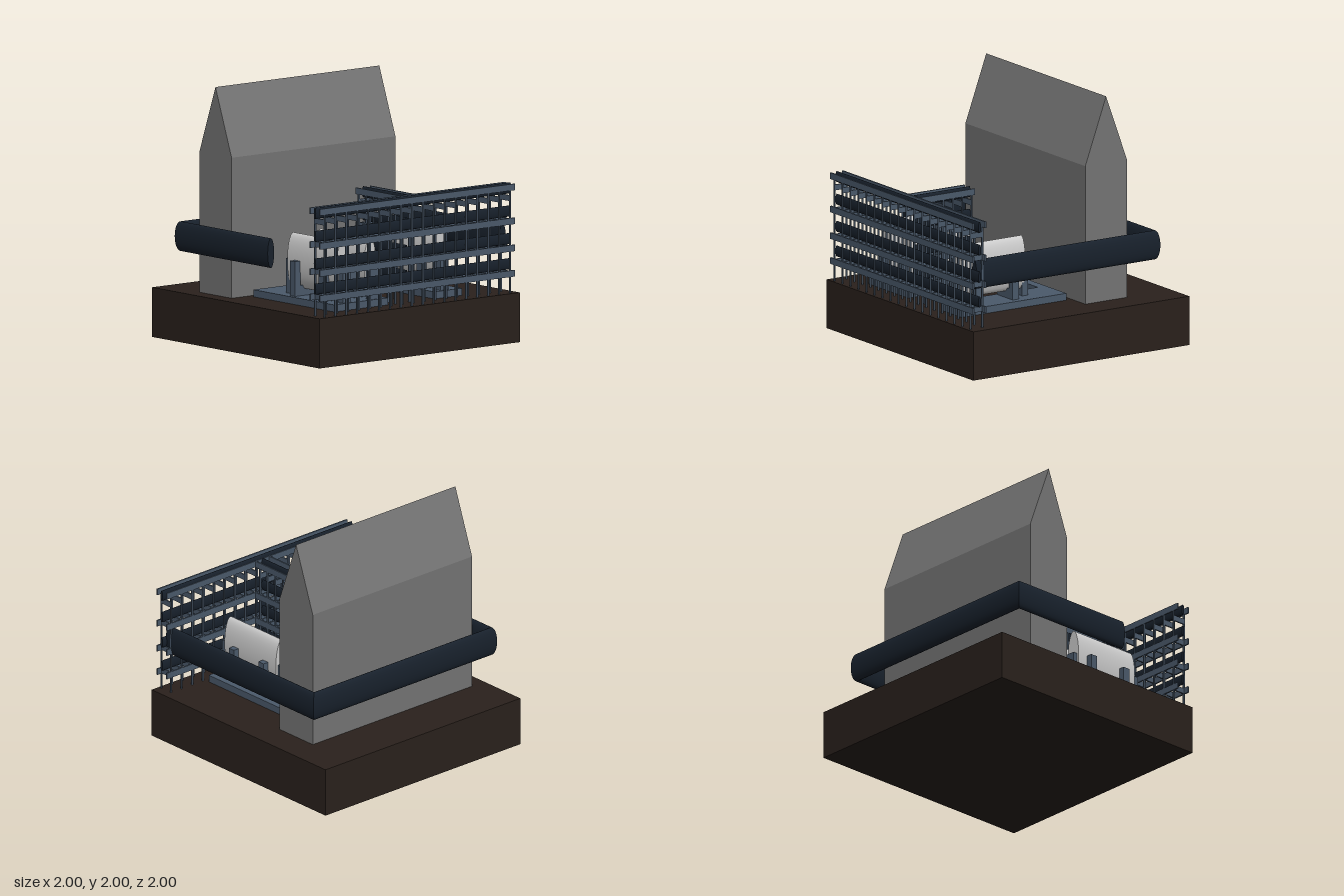
import * as THREE from 'three';

const mat = (color) => new THREE.MeshStandardMaterial({ color });
const earth = mat(0x2a211c), steel = mat(0x4b5a6b), dark = mat(0x18212c);
const wall = mat(0x757575), plain = mat(0xcccccc);

function add(parent, name, geometry, material) {
  const mesh = new THREE.Mesh(geometry, material);
  mesh.name = name;
  parent.add(mesh);
  return mesh;
}

// Box given by its lower and upper limits on each axis
function box(parent, name, [x0, x1], [y0, y1], [z0, z1], material) {
  const mesh = add(parent, name, new THREE.BoxGeometry(x1 - x0, y1 - y0, z1 - z0), material);
  mesh.position.set((x0 + x1) / 2, (y0 + y1) / 2, (z0 + z1) / 2);
  return mesh;
}

// Elliptical cylinder along z; the slants shear each end into a mitre
function ovalTube(rx, ry, length, slantBack = 0, slantFront = 0) {
  const g = new THREE.CylinderGeometry(1, 1, length, 32);
  g.rotateX(Math.PI / 2).scale(rx, ry, 1);
  const p = g.attributes.position;
  for (let i = 0; i < p.count; i++) {
    p.setZ(i, p.getZ(i) + p.getX(i) * (p.getZ(i) < 0 ? slantBack : slantFront));
  }
  return g;
}

// Polygon in plan, raised from y0 to y1
function plate(points, y0, y1) {
  const shape = new THREE.Shape(points.map(([x, z]) => new THREE.Vector2(x, -z)));
  const g = new THREE.ExtrudeGeometry(shape, { depth: y1 - y0, bevelEnabled: false });
  return g.rotateX(-Math.PI / 2).translate(0, y0, 0);
}

// Pipe rack running along x, centred on z = 0
function pipeRack(name, x0, x1, halfWidth, posts) {
  const rack = new THREE.Group();
  rack.name = name;
  const t = 0.006;
  const railLevels = [0.535, 0.732, 0.942, 1.205];
  const crossLevels = [0.535, 0.732, 0.942, 1.122];
  const pipeLevels = [0.603, 0.798, 1.012, 1.191];
  for (const side of [-halfWidth, halfWidth]) {
    for (const y of railLevels) {
      box(rack, 'rackRail', [x0, x1], [y - 0.025, y + 0.025], [side - t, side + t], steel);
    }
    for (const x of posts) {
      box(rack, 'rackPost', [x - t, x + t], [0.385, 1.23], [side - t, side + t], steel);
    }
  }
  for (const y of crossLevels) {
    for (const x of posts) {
      box(rack, 'rackCrossbar', [x - t, x + t], [y - 0.022, y + 0.022], [-halfWidth, halfWidth], steel);
    }
  }
  for (const y of pipeLevels) {
    const pipe = add(rack, 'rackPipe', ovalTube(0.012, 0.043, x1 - x0), dark);
    pipe.rotation.y = Math.PI / 2;
    pipe.position.set((x0 + x1) / 2, y, 0);
  }
  return rack;
}

// Horizontal tank with pillars around it, centred on x = 0
function tank() {
  const g = new THREE.Group();
  g.name = 'tank';
  add(g, 'tankShell', ovalTube(0.06, 0.21, 0.59), plain).position.set(0, 0.7, 0.455);
  for (const z of [0.28, 0.62]) {
    for (const s of [-1, 1]) {
      box(g, 'sidePillar', [s * 0.08 - 0.026, s * 0.08 + 0.026], [0.44, 0.71], [z - 0.03, z + 0.03], steel);
    }
    box(g, 'tankSaddle', [-0.1, 0.1], [0.44, 0.52], [z - 0.03, z + 0.03], steel);
  }
  for (const z of [0.15, 0.775]) {
    box(g, 'endPillar', [-0.04, 0.04], [0.44, 0.71], [z - 0.027, z + 0.027], steel);
  }
  return g;
}

export function createModel() {
  const model = new THREE.Group();
  model.name = 'plant';

  box(model, 'groundBlock', [-1, 1], [0, 0.385], [-1, 1], earth);

  // Tall hall with a steep gable roof
  const gable = new THREE.Shape([[0.2, 0.385], [0.585, 0.385], [0.585, 1.475], [0.3925, 2], [0.2, 1.475]]
    .map(([z, y]) => new THREE.Vector2(z, y)));
  const hall = new THREE.ExtrudeGeometry(gable, { depth: 1.635, bevelEnabled: false });
  hall.rotateY(Math.PI / 2).translate(-0.875, 0, 0);
  add(model, 'hall', hall, wall);

  // U-shaped slab under the tanks
  add(model, 'tankSlab', plate([
    [-0.7, 0.815], [-0.16, 0.815], [-0.16, -0.075], [0.295, -0.075],
    [0.295, 0.82], [0.575, 0.82], [0.575, -0.15], [-0.7, -0.15],
  ], 0.385, 0.44), steel);

  for (const x of [-0.56, -0.285, 0.415]) {
    const t = tank();
    t.position.x = x;
    model.add(t);
  }

  // Main duct around the back of the hall, mitred at both corners
  const duct = new THREE.Group();
  duct.name = 'mainDuct';
  model.add(duct);
  const left = 0.895, right = -0.925, back = -0.75;
  for (const [x, front, slant] of [[left, 0.92, -1], [right, 0.33, 1]]) {
    add(duct, 'ductSide', ovalTube(0.032, 0.115, front - back, slant, 0), dark)
      .position.set(x, 0.805, (front + back) / 2);
  }
  const rear = add(duct, 'ductRear', ovalTube(0.032, 0.115, left - right, -1, 1), dark);
  rear.rotation.y = Math.PI / 2;
  rear.position.set((left + right) / 2, 0.805, back);

  // Long rack across the front, short branch towards the hall
  const frontPosts = Array.from({ length: 18 }, (_, i) => -0.93 + i * 0.109);
  const frontRack = pipeRack('frontRack', -0.98, 0.97, 0.055, frontPosts);
  frontRack.position.z = 0.92;
  model.add(frontRack);

  const branchPosts = Array.from({ length: 6 }, (_, i) => -0.81 + i * 0.087);
  const branchRack = pipeRack('branchRack', -0.86, -0.345, 0.07, branchPosts);
  branchRack.rotation.y = Math.PI / 2;
  branchRack.position.x = -0.015;
  model.add(branchRack);

  return model;
}
